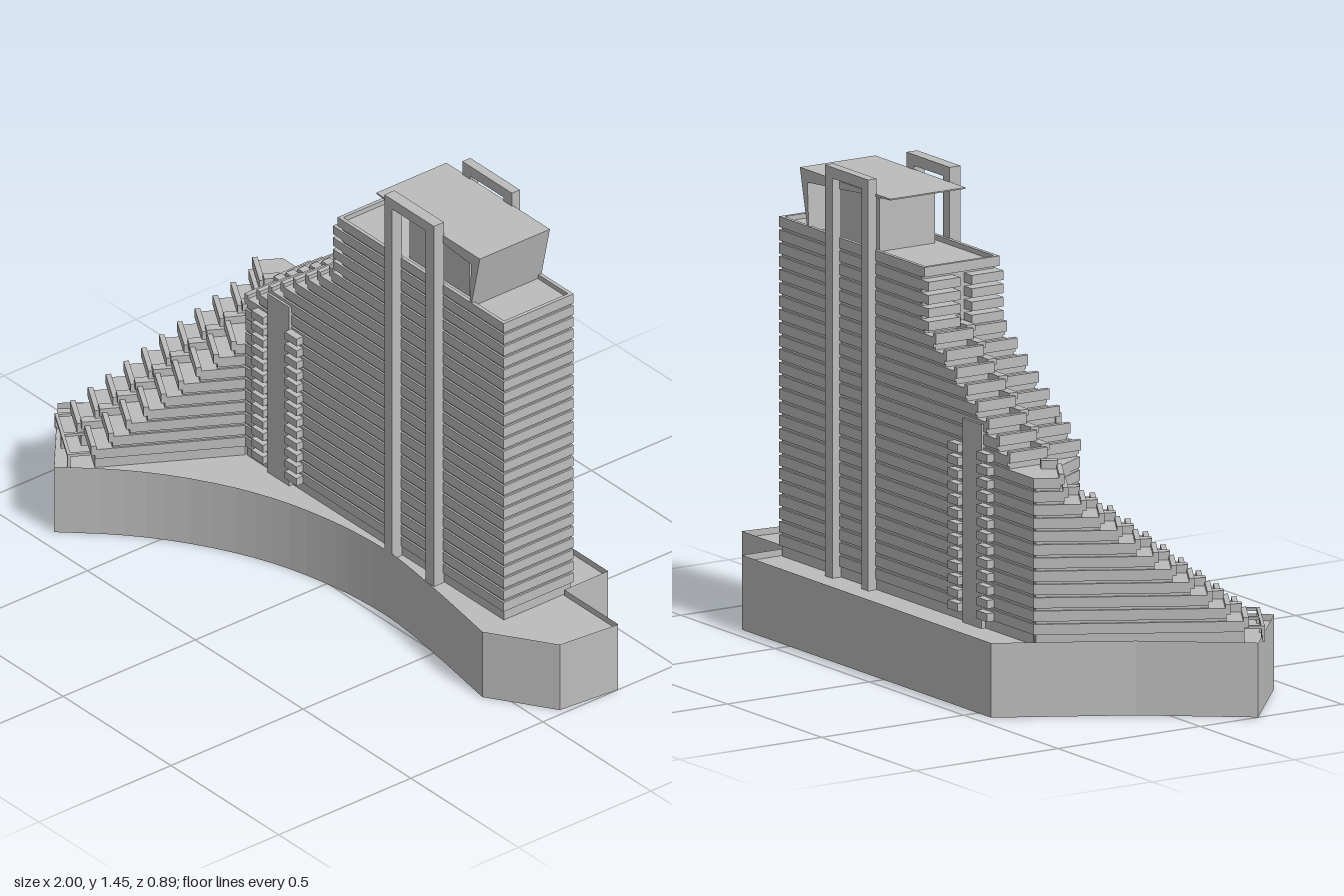
import * as THREE from 'three';

const concrete = new THREE.MeshStandardMaterial({ color: 0xbcbcbc, side: THREE.DoubleSide });
concrete.name = 'concrete';

const FLOOR = 0.04, Y0 = 0.23, DECK = 0.205;   // storey height, first floor, podium deck
const BACK = -0.32, FRONT = -0.055, RIGHT = 0.75;
const W = FRONT - BACK, T30 = Math.tan(Math.PI / 6), MID = W * 0.5;

function add(parent, name, geometry) {
  const mesh = new THREE.Mesh(geometry, concrete);
  mesh.name = name;
  parent.add(mesh);
  return mesh;
}

function group(parent, name) {
  const g = new THREE.Group();
  g.name = name;
  parent.add(g);
  return g;
}

// box given by its limits
function box(parent, name, x0, x1, y0, y1, z0, z1) {
  const g = new THREE.BoxGeometry(x1 - x0, y1 - y0, z1 - z0);
  g.translate((x0 + x1) / 2, (y0 + y1) / 2, (z0 + z1) / 2);
  return add(parent, name, g);
}

function planShape(points) {
  return new THREE.Shape(points.map(([x, z]) => new THREE.Vector2(x, -z)));
}

// upright prism over a plan outline of [x, z] points
function prism(parent, name, points, y0, y1) {
  const g = new THREE.ExtrudeGeometry(planShape(points), { depth: y1 - y0, bevelEnabled: false });
  g.rotateX(-Math.PI / 2);
  g.translate(0, y0, 0);
  return add(parent, name, g);
}

// storey = recessed joint below a full-size band; outline(inset) gives the plan
function storey(parent, name, outline, n, top = Y0 + (n + 1) * FLOOR) {
  const y = n === 0 ? DECK : Y0 + n * FLOOR;
  prism(parent, name + 'Joint', outline(0.006), y, Y0 + n * FLOOR + 0.008);
  prism(parent, name, outline(0), Y0 + n * FLOOR + 0.008, top);
}

function buildPodium(root) {
  const podium = group(root, 'podium');
  const curve = new THREE.CatmullRomCurve3([
    [0.78, 0.05], [0.5, 0.005], [0.28, -0.02], [0.13, -0.015], [0, 0.003], [-0.15, 0.04],
    [-0.3, 0.1], [-0.47, 0.2], [-0.6, 0.305], [-0.73, 0.44],
  ].map(([x, z]) => new THREE.Vector3(x, 0, z)));
  const outline = [
    [-1, 0.205], [-0.78, -0.08], [-0.57, -0.45], [0.75, -0.45], [0.75, -0.285], [1, -0.285], [0.98, -0.08],
    ...curve.getPoints(24).map((p) => [p.x, p.z]),
  ];
  // open-bottomed wall rising slightly above the deck
  const pos = [];
  outline.forEach(([ax, az], i) => {
    const [bx, bz] = outline[(i + 1) % outline.length];
    pos.push(ax, 0, az, bx, 0.225, bz, bx, 0, bz, ax, 0, az, ax, 0.225, az, bx, 0.225, bz);
  });
  const wall = new THREE.BufferGeometry();
  wall.setAttribute('position', new THREE.Float32BufferAttribute(pos, 3));
  wall.computeVertexNormals();
  add(podium, 'podiumWall', wall);
  const deck = new THREE.ShapeGeometry(planShape(outline));
  deck.rotateX(-Math.PI / 2);
  deck.translate(0, DECK, 0);
  add(podium, 'podiumDeck', deck);
}

function buildTower(root) {
  const tower = group(root, 'tower');
  const zm = BACK + MID;
  for (let n = 0; n < 25; n++) {
    const y = Y0 + n * FLOOR, top = y + FLOOR;
    if (n < 12) {
      // full storeys, mitred against the wing
      storey(tower, 'towerStorey', (i) => [
        [-0.6, BACK + i], [RIGHT - i, BACK + i], [RIGHT - i, FRONT - i], [-0.6 + W * T30, FRONT - i],
      ], n);
      continue;
    }
    // stepped storeys in two staggered halves
    [[BACK, zm, 0], [zm, FRONT, 0.022]].forEach(([z0, z1, shift]) => {
      const x = Math.min(0, -0.462 + 0.056 * (n - 12) + shift);
      const zi = (i) => [z0 === BACK ? z0 + i : z0, z1 === FRONT ? z1 - i : z1];
      storey(tower, 'towerStorey', (i) => {
        const [a, b] = zi(i);
        return [[x, a], [RIGHT - i, a], [RIGHT - i, b], [x, b]];
      }, n, n === 24 ? 1.215 : top);
      if (n < 20) {
        box(tower, 'terraceParapet', x - 0.012, x + 0.004, top - 0.02, top + 0.012, z0, z1);
        box(tower, 'terraceDivider', x, x + 0.05, top, top + 0.02, zm - 0.015, zm + 0.015);
      } else if (n < 24) {
        const [a, b] = z0 === BACK ? [z0, z1 - 0.02] : [z0 + 0.02, z1];
        box(tower, 'endBalcony', -0.042, 0, y + 0.012, top, a, b);
      }
    });
  }
  // roof rim
  box(tower, 'roofRim', -0.02, RIGHT, 1.2, 1.23, BACK, BACK + 0.012);
  box(tower, 'roofRim', -0.02, RIGHT, 1.2, 1.23, FRONT - 0.012, FRONT);
  box(tower, 'roofRim', RIGHT - 0.012, RIGHT, 1.2, 1.23, BACK, FRONT);
  box(tower, 'roofRim', -0.02, -0.008, 1.2, 1.23, BACK, FRONT);
  box(tower, 'roofEdge', -0.02, 0.02, 1.2, 1.215, BACK, FRONT);
}

function buildWing(root) {
  const wing = group(root, 'steppedWing');
  // u runs along the wing, v across it from the outer side
  wing.position.set(-0.6, 0, BACK);
  wing.rotation.y = -Math.PI * 2 / 3;
  const flip = (pts) => pts.map(([u, v]) => [u, -v]);
  for (let n = 0; n < 12; n++) {
    const top = Y0 + (n + 1) * FLOOR;
    [[0, MID, 0.62 - 0.053 * n], [MID, W, 0.6 - 0.052 * n]].forEach(([v0, v1, end], side) => {
      const s0 = v0 * T30, s1 = v1 * T30;
      if (end <= s1 && side === 1) return;
      const e = Math.max(end, s1 + 0.002);
      storey(wing, 'wingStorey', (i) => {
        const a = side === 0 ? v0 + i : v0, b = side === 1 ? v1 - i : v1;
        return flip([[s0, a], [e, a], [e, b], [s1, b]]);
      }, n);
      box(wing, 'terraceParapet', e - 0.004, e + 0.012, top - 0.02, top + 0.012, -v1, -v0);
      box(wing, 'terraceDivider', e - 0.05, e, top, top + 0.025, -MID - 0.015, -MID + 0.015);
    });
  }
  // low rail in front of the wing end
  for (const v of [0.02, MID, W - 0.02]) {
    box(wing, 'endRail', 0.6, 0.68, 0.243, 0.252, -v - 0.005, -v + 0.005);
    box(wing, 'endRailPost', 0.67, 0.68, DECK, 0.25, -v - 0.005, -v + 0.005);
  }
  box(wing, 'endRail', 0.67, 0.68, 0.243, 0.252, -W + 0.015, -0.015);
}

function buildBalconies(root) {
  const balconies = group(root, 'balconies');
  // balcony stacks either side of a plain panel, on both faces
  for (const [z0, z1, p0, p1] of [[FRONT - 0.01, -0.03, FRONT - 0.01, FRONT + 0.008],
    [-0.345, BACK + 0.01, BACK - 0.008, BACK + 0.01]]) {
    for (let n = 0; n < 13; n++) {
      const y = Y0 + n * FLOOR;
      box(balconies, 'balcony', -0.39, -0.335, y + 0.008, y + 0.033, z0, z1);
      box(balconies, 'balcony', -0.235, -0.18, y + 0.008, y + 0.033, z0, z1);
    }
    box(balconies, 'balconyPanel', -0.335, -0.235, DECK, 0.82, p0, p1);
  }
}

function buildFrames(root) {
  // tall portal frames standing against both faces
  for (const [name, z0, z1] of [['frontFrame', FRONT - 0.003, -0.02], ['backFrame', -0.345, BACK + 0.005]]) {
    const frame = group(root, name);
    box(frame, 'framePillar', 0.24, 0.275, DECK, 1.445, z0, z1);
    box(frame, 'framePillar', 0.43, 0.47, DECK, 1.445, z0, z1);
    box(frame, 'frameBeam', 0.275, 0.43, 1.412, 1.445, z0, z1);
  }
}

function buildPenthouse(root) {
  const penthouse = group(root, 'penthouse');
  // tapering roof folded down into a sloping end wall
  const profile = new THREE.Shape([
    [0.16, 1.4], [0.16, 1.396], [0.27, 1.39], [0.6, 1.362], [0.592, 1.21], [0.597, 1.21], [0.64, 1.4],
  ].map(([x, y]) => new THREE.Vector2(x, y)));
  const roof = new THREE.ExtrudeGeometry(profile, { depth: W, bevelEnabled: false });
  roof.translate(0, 0, BACK);
  add(penthouse, 'foldedRoof', roof);
  box(penthouse, 'penthouseRoom', 0.27, 0.55, 1.2, 1.375, BACK + 0.035, FRONT - 0.035);
}

export function createModel() {
  const root = new THREE.Group();
  root.name = 'steppedTowerBlock';
  buildPodium(root);
  buildTower(root);
  buildWing(root);
  buildBalconies(root);
  buildFrames(root);
  buildPenthouse(root);
  return root;
}
